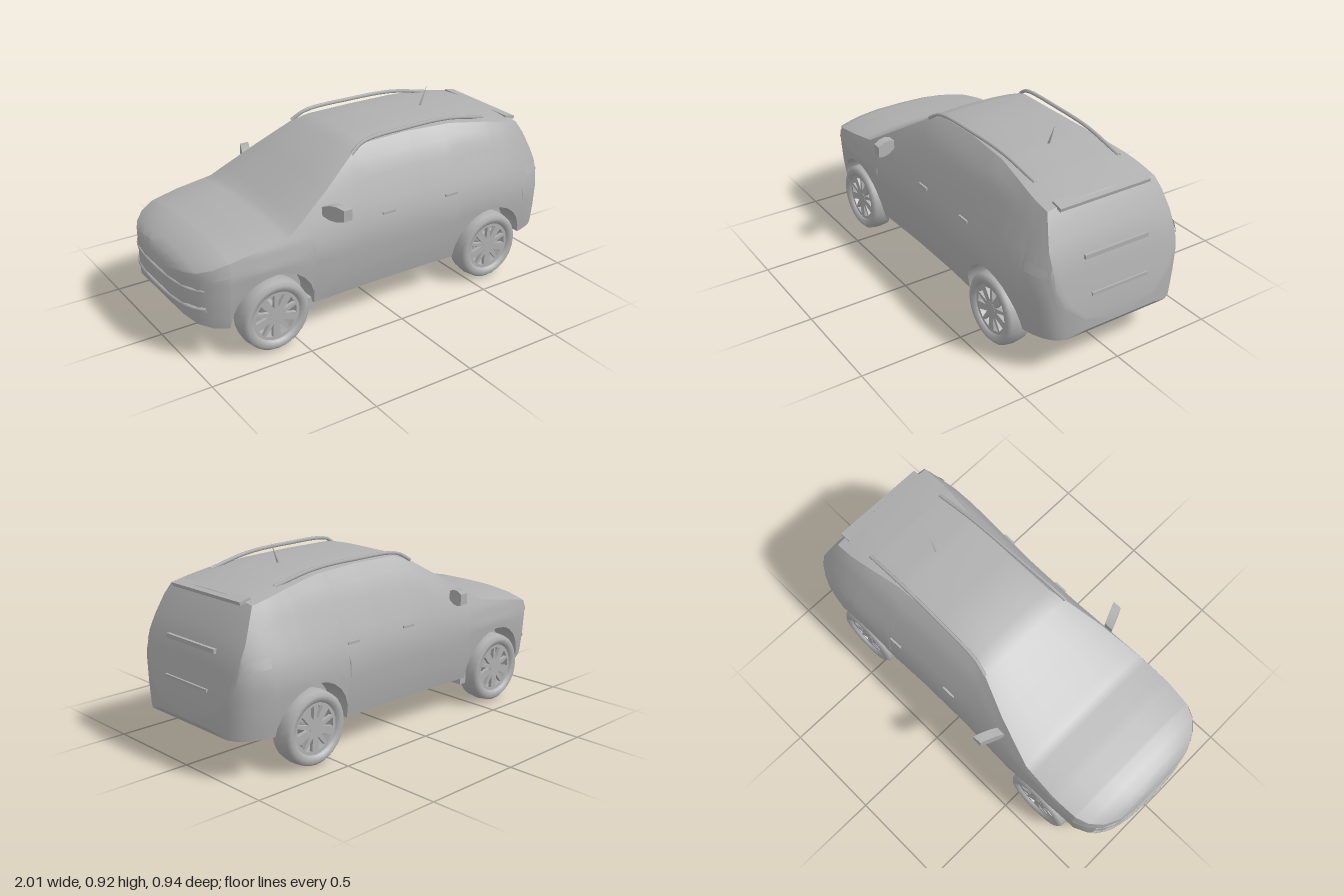
import * as THREE from 'three';
import { toCreasedNormals } from 'three/addons/utils/BufferGeometryUtils.js';

const WHEEL_Y = 0.176, ARCH_R = 0.21, AXLES = [-0.62, 0.6];

// body stations: x, underside y, top y, half width, drop of the top towards its edge
const STATIONS = [
  [-1, 0.29, 0.42, 0.12, 0.02], [-0.985, 0.22, 0.46, 0.23, 0.03], [-0.95, 0.19, 0.485, 0.31, 0.04],
  [-0.9, 0.175, 0.512, 0.365, 0.045], [-0.84, 0.168, 0.533, 0.395, 0.045], [-0.7, 0.165, 0.555, 0.413, 0.04],
  [-0.52, 0.165, 0.575, 0.415, 0.03], [-0.3, 0.165, 0.705, 0.408, 0.025], [-0.13, 0.165, 0.805, 0.402, 0.018],
  [-0.05, 0.165, 0.83, 0.401, 0.015], [0.2, 0.165, 0.834, 0.402, 0.015], [0.45, 0.165, 0.826, 0.412, 0.015],
  [0.65, 0.17, 0.803, 0.42, 0.018], [0.75, 0.188, 0.786, 0.417, 0.02], [0.84, 0.19, 0.768, 0.402, 0.02],
  [0.87, 0.19, 0.72, 0.393, 0.025], [0.91, 0.19, 0.635, 0.375, 0.03], [0.94, 0.19, 0.57, 0.353, 0.03],
  [0.96, 0.19, 0.49, 0.33, 0.03], [0.98, 0.192, 0.395, 0.29, 0.03], [1, 0.22, 0.29, 0.2, 0.01],
];
// half width of the body at each height
const FLANK = [[0.16, 0.385], [0.2, 0.396], [0.3, 0.411], [0.42, 0.42], [0.5, 0.405], [0.58, 0.375],
  [0.65, 0.345], [0.72, 0.315], [0.78, 0.28], [0.82, 0.24], [0.85, 0.22]];

function sample(table, t, col) {
  let i = 1;
  while (i < table.length - 1 && t > table[i][0]) i++;
  const a = table[i - 1], b = table[i];
  const f = THREE.MathUtils.clamp((t - a[0]) / (b[0] - a[0]), 0, 1);
  return a[col] + (b[col] - a[col]) * f;
}
const sideZ = (x, y) => sample(FLANK, y, 1) * sample(STATIONS, x, 3) / 0.42;

// half outline of one cross-section, bottom centre to top centre, with the wheel well
function section(x) {
  const floor = sample(STATIONS, x, 1), top = sample(STATIONS, x, 2), drop = sample(STATIONS, x, 4);
  let low = floor;
  for (const cx of AXLES) {
    const d = ARCH_R ** 2 - (x - cx) ** 2;
    if (d > 1e-6) low = Math.max(low, WHEEL_Y + Math.sqrt(d));
  }
  const wall = Math.min(0.27, sideZ(x, floor) * 0.8);
  const pts = [[floor, 0], [floor, wall], [low, wall]];
  const edge = top - drop, K = 10;
  for (let k = 0; k <= K; k++) {
    const y = low + (edge - low) * k / K;
    pts.push([y, sideZ(x, y)]);
  }
  const ez = sideZ(x, edge);
  for (const f of [0.92, 0.7, 0.4, 0]) pts.push([top - drop * f ** 3, ez * f]);
  return pts;
}

function bodyGeometry() {
  const xs = STATIONS.map(s => s[0]);
  for (const cx of AXLES) for (let k = 0; k <= 12; k++) xs.push(cx + ARCH_R * Math.cos(k * Math.PI / 12));
  xs.sort((a, b) => a - b);
  const stations = xs.filter((x, i) => i === 0 || x - xs[i - 1] > 0.002);
  const pos = [], index = [];
  let n = 0;
  for (const x of stations) {
    const half = section(x);
    const ring = [...half, ...half.slice(1, -1).reverse().map(([y, z]) => [y, -z])];
    n = ring.length;
    for (const [y, z] of ring) pos.push(x, y, z);
  }
  for (let i = 0; i < stations.length - 1; i++) {
    for (let j = 0; j < n; j++) {
      const a = i * n + j, d = i * n + (j + 1) % n;
      index.push(a, a + n, d, a + n, d + n, d);
    }
  }
  const last = (stations.length - 1) * n;
  for (let j = 1; j < n - 1; j++) index.push(0, j, j + 1, last, last + j + 1, last + j);
  const g = new THREE.BufferGeometry();
  g.setAttribute('position', new THREE.Float32BufferAttribute(pos, 3));
  g.setIndex(index);
  return toCreasedNormals(g, 0.6);
}

// thin panel lying on the flank; corners are [x, y]
function flankPanel(c, side) {
  const g = new THREE.PlaneGeometry(1, 1, 6, 3), p = g.attributes.position;
  for (let i = 0; i < p.count; i++) {
    const u = p.getX(i) + 0.5, v = p.getY(i) + 0.5;
    const mix = k => (c[0][k] * (1 - u) + c[1][k] * u) * (1 - v) + (c[3][k] * (1 - u) + c[2][k] * u) * v;
    const x = mix(0), y = mix(1);
    p.setXYZ(i, x, y, side * (sideZ(x, y) + 0.005));
  }
  g.computeVertexNormals();
  return g;
}

export function createModel() {
  const grey = new THREE.MeshStandardMaterial({ color: 0xb0b0b0, side: THREE.DoubleSide });
  grey.name = 'grey';
  const car = new THREE.Group();
  car.name = 'car';
  const add = (name, geometry, parent = car, x = 0, y = 0, z = 0) => {
    const m = new THREE.Mesh(geometry, grey);
    m.name = name;
    m.position.set(x, y, z);
    parent.add(m);
    return m;
  };
  const tube = (points, r, seg = 16) => new THREE.TubeGeometry(
    new THREE.CatmullRomCurve3(points.map(p => new THREE.Vector3(...p))), seg, r, 6);

  add('body', bodyGeometry());

  // wheel parts
  const tyre = new THREE.LatheGeometry([
    [0.118, -0.055], [0.15, -0.061], [0.167, -0.045], [0.173, 0], [0.167, 0.045], [0.15, 0.061],
    [0.124, 0.055], [0.116, 0.035], [0.118, -0.055],
  ].map(p => new THREE.Vector2(...p)), 28).rotateX(Math.PI / 2);
  const rimShape = new THREE.Shape().absarc(0, 0, 0.122, 0, Math.PI * 2);
  for (let i = 0; i < 10; i++) {
    const a = i * Math.PI / 5 + (i % 2 ? -0.06 : 0.06), w = 0.19;
    const at = (r, t) => new THREE.Vector2(r * Math.cos(t), r * Math.sin(t));
    rimShape.holes.push(new THREE.Path([at(0.043, a), at(0.105, a - w), at(0.105, a + w)]));
  }
  const rim = new THREE.ExtrudeGeometry(rimShape, { depth: 0.018, bevelEnabled: false, curveSegments: 28 });
  const hub = new THREE.CylinderGeometry(0.032, 0.04, 0.1, 16).rotateX(Math.PI / 2);
  for (const x of AXLES) {
    for (const s of [1, -1]) {
      const wheel = new THREE.Group();
      wheel.name = (x < 0 ? 'front' : 'rear') + 'Wheel';
      wheel.position.set(x, WHEEL_Y, s * 0.357);
      if (s < 0) wheel.rotation.y = Math.PI;
      add('tyre', tyre, wheel);
      add('rim', rim, wheel, 0, 0, 0.026);
      add('hub', hub, wheel, 0, 0, -0.005);
      car.add(wheel);
      add('suspensionArm', new THREE.BoxGeometry(0.14, 0.045, 0.14), car, x, 0.112, s * 0.21).rotation.x = s * 0.12;
    }
    // axle beam
    add('axle', tube([[x, 0.16, -0.32], [x, 0.105, -0.2], [x, 0.135, 0], [x, 0.105, 0.2], [x, 0.16, 0.32]], 0.02));
  }

  for (const s of [1, -1]) {
    // door mirror, swept outwards and back
    const mirror = new THREE.BoxGeometry(0.045, 0.075, 0.11, 2, 3, 3), p = mirror.attributes.position;
    for (let i = 0; i < p.count; i++) {
      const v = p.getZ(i) / 0.11 + 0.5;
      p.setXYZ(i, p.getX(i) - 0.33 + 0.045 * v, 0.602 + p.getY(i) * (1 - 0.7 * (v - 0.55) ** 2 * 2) + 0.004 * v,
        s * (0.362 + 0.108 * v));
    }
    mirror.computeVertexNormals();
    add('mirror', mirror);

    // roof rail
    const rail = [[-0.13, 0.788, 0.262], [-0.06, 0.828, 0.248], [0.2, 0.84, 0.238], [0.45, 0.832, 0.232], [0.67, 0.79, 0.226]];
    add('roofRail', tube(rail.map(([x, y, z]) => [x, y, s * z]), 0.009, 24));

    // lamps, door handles and flaps behind the front wheels
    add('headlight', flankPanel([[-0.965, 0.405], [-0.84, 0.43], [-0.83, 0.46], [-0.965, 0.432]], s));
    add('tailLight', flankPanel([[0.83, 0.5], [0.945, 0.49], [0.925, 0.53], [0.82, 0.55]], s));
    for (const x of [0, 0.36])
      add('doorHandle', new THREE.BoxGeometry(0.07, 0.012, 0.012), car, x, 0.515, s * sideZ(x, 0.515));
    add('mudFlap', new THREE.BoxGeometry(0.04, 0.06, 0.1), car, -0.425, 0.155, s * 0.31);
  }

  // front bumper bars
  for (const [y, out, r] of [[0.36, 0.002, 0.008], [0.27, 0, 0.01]]) {
    const path = [[-0.925, 0.33], [-0.965, 0.27], [-0.985, 0.2], [-0.997, 0.1]];
    const half = path.map(([x, z]) => [x - out, y, z]);
    add('bumperBar', tube([...half, ...half.slice().reverse().map(([x, yy, z]) => [x, yy, -z])], r, 24));
  }

  // tailgate: spoiler, handle ledge and bumper step
  add('spoiler', new THREE.BoxGeometry(0.06, 0.016, 0.48), car, 0.838, 0.758, 0).rotation.z = -0.2;
  add('tailgateLedge', new THREE.BoxGeometry(0.03, 0.02, 0.34), car, 0.942, 0.55, 0);
  add('bumperStep', new THREE.BoxGeometry(0.03, 0.014, 0.3), car, 0.975, 0.38, 0);

  // roof aerial
  const aerial = add('aerial', new THREE.ConeGeometry(0.006, 0.11, 6), car, 0.478, 0.876, 0);
  aerial.rotation.z = -0.38;

  return car;
}
